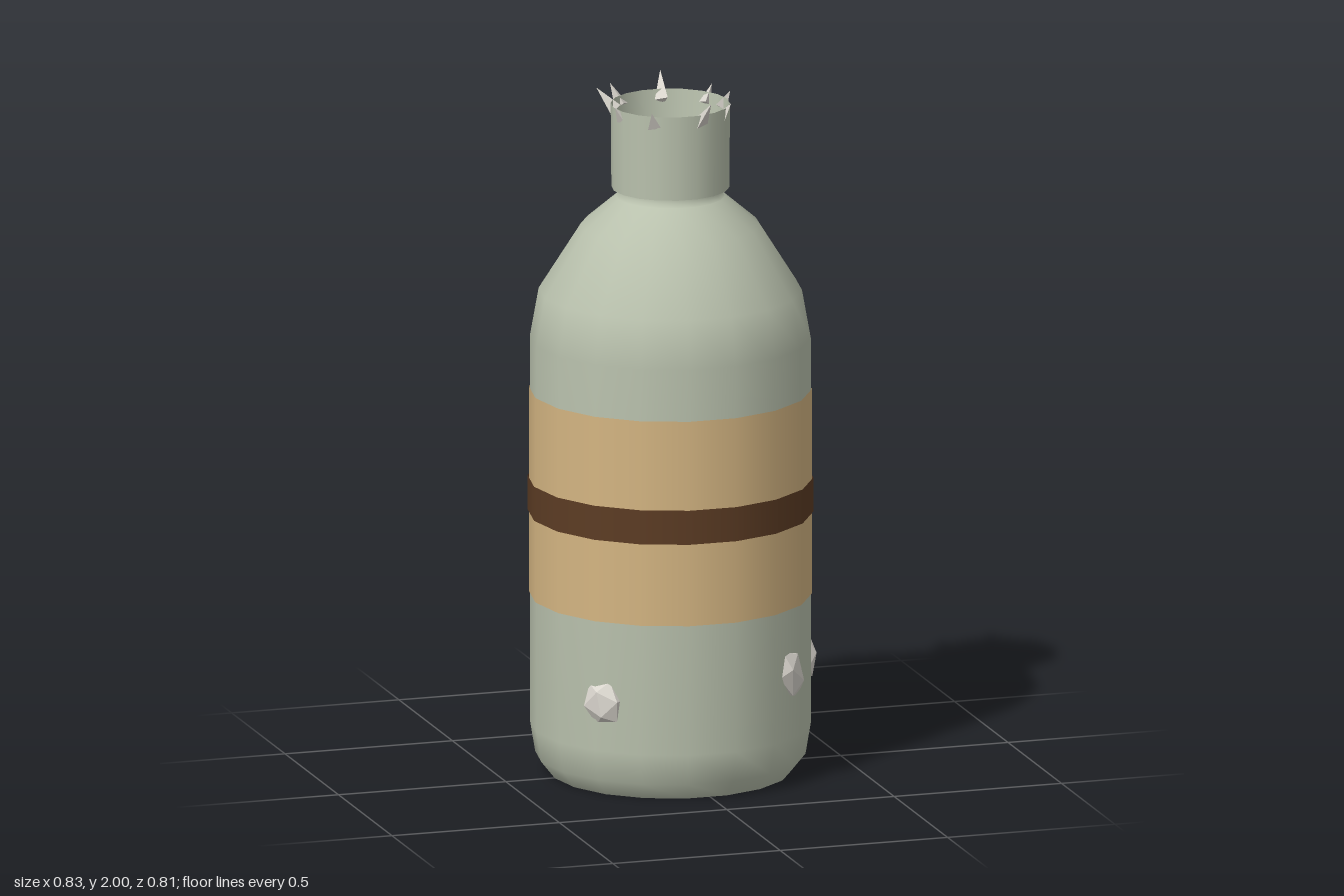
import * as THREE from 'three';

const SIDES = 18;
const CX = -0.01, CZ = 0.004;

function mat(name, color, extra = {}) {
  const m = new THREE.MeshStandardMaterial({ color, ...extra });
  m.name = name;
  return m;
}

export function createModel() {
  const glass = mat('greyGreenGlass', 0xb9c1ad, { side: THREE.DoubleSide });
  const paper = mat('tanLabel', 0xd4b582, { side: THREE.DoubleSide });
  const brown = mat('brownStripe', 0x5c3c24, { side: THREE.DoubleSide });
  const liquid = mat('oliveLiquid', 0x97976f);
  const shell = mat('paleShell', 0xd9d5cd, { flatShading: true });

  const group = new THREE.Group();
  const bottle = new THREE.Group();
  bottle.name = 'bottle';
  bottle.position.set(CX, 0, CZ);
  group.add(bottle);

  const add = (parent, name, geometry, material) => {
    const mesh = new THREE.Mesh(geometry, material);
    mesh.name = name;
    parent.add(mesh);
    return mesh;
  };
  const lathe = (name, profile, material) => add(bottle, name,
    new THREE.LatheGeometry(profile.map(p => new THREE.Vector2(...p)), SIDES, Math.PI / 2), material);

  // Bottle body, flat base and neck
  lathe('body', [[0.345, 0], [0.385, 0.05], [0.4, 0.14], [0.4, 0.7], [0.4, 1.27],
    [0.375, 1.41], [0.255, 1.6], [0.155, 1.685]], glass);
  lathe('base', [[0, 0], [0.345, 0]], glass);
  lathe('neckGroove', [[0.155, 1.685], [0.145, 1.695], [0.145, 1.71]], glass);

  // Hollow collar: underside, outer wall, sloping inner wall and floor
  lathe('collarUnderside', [[0.145, 1.71], [0.168, 1.71]], glass);
  lathe('collarOuterWall', [[0.168, 1.71], [0.17, 1.955]], glass);
  lathe('collarInnerWall', [[0.17, 1.955], [0.146, 1.715]], glass);
  lathe('collarFloor', [[0.146, 1.715], [0, 1.715]], glass);
  const disc = add(bottle, 'liquidSurface', new THREE.CircleGeometry(0.118, 14), liquid);
  disc.rotation.x = -Math.PI / 2;
  disc.position.y = 1.719;

  // Wrapped label and its stripe
  lathe('label', [[0.398, 0.52], [0.403, 0.52], [0.403, 1.12], [0.398, 1.12]]
    .slice(1, 3), paper);
  lathe('labelStripe', [[0.407, 0.76], [0.407, 0.86]], brown);

  // Shell lumps stuck to the lower body: x, y, z, half width, half height, tilt
  [
    [-0.295, 0.28, 0.27, 0.065, 0.07, 0.2],
    [0.26, 0.325, 0.28, 0.06, 0.085, 0.45],
    [0.385, 0.31, 0.025, 0.058, 0.072, -0.2],
    [-0.115, 0.40, -0.378, 0.056, 0.046, 0.3],
  ].forEach(([x, y, z, w, h, tilt], i) => {
    const geometry = new THREE.IcosahedronGeometry(1, 0);
    geometry.rotateZ(i * 0.7);
    geometry.scale(w, h, 0.032);
    geometry.rotateZ(tilt);
    const lump = add(group, 'shellLump' + (i + 1), geometry, shell);
    lump.position.set(x, y, z);
    lump.rotation.y = Math.atan2(x - CX, z - CZ);
  });

  // Three-sided spikes around the rim: base x, z, tip x, y, z, radius
  const up = new THREE.Vector3(0, 1, 0);
  [
    [-0.112, -0.128, -0.138, 1.985, -0.16, 0.024],
    [-0.152, -0.08, -0.198, 1.99, -0.1, 0.024],
    [0.015, -0.15, 0.027, 2.0, -0.207, 0.022],
    [0.122, -0.083, 0.148, 1.975, -0.102, 0.02],
    [0.147, -0.022, 0.178, 1.97, -0.025, 0.021],
    [0.113, 0.1, 0.135, 1.97, 0.118, 0.018],
    [0.03, 0.155, 0.048, 1.995, 0.205, 0.023],
    [-0.1, 0.138, -0.116, 1.97, 0.163, 0.022],
    [-0.164, 0.044, -0.19, 1.965, 0.05, 0.019],
  ].forEach(([bx, bz, tx, ty, tz, r], i) => {
    const base = new THREE.Vector3(bx, 1.925, bz);
    const dir = new THREE.Vector3(tx, ty, tz).sub(base);
    const length = dir.length();
    const geometry = new THREE.ConeGeometry(r, length, 3);
    geometry.translate(0, length / 2, 0);
    geometry.rotateY(i * 1.3);
    const spike = add(group, 'rimSpike' + (i + 1), geometry, shell);
    spike.position.copy(base);
    spike.quaternion.setFromUnitVectors(up, dir.normalize());
  });

  return group;
}
